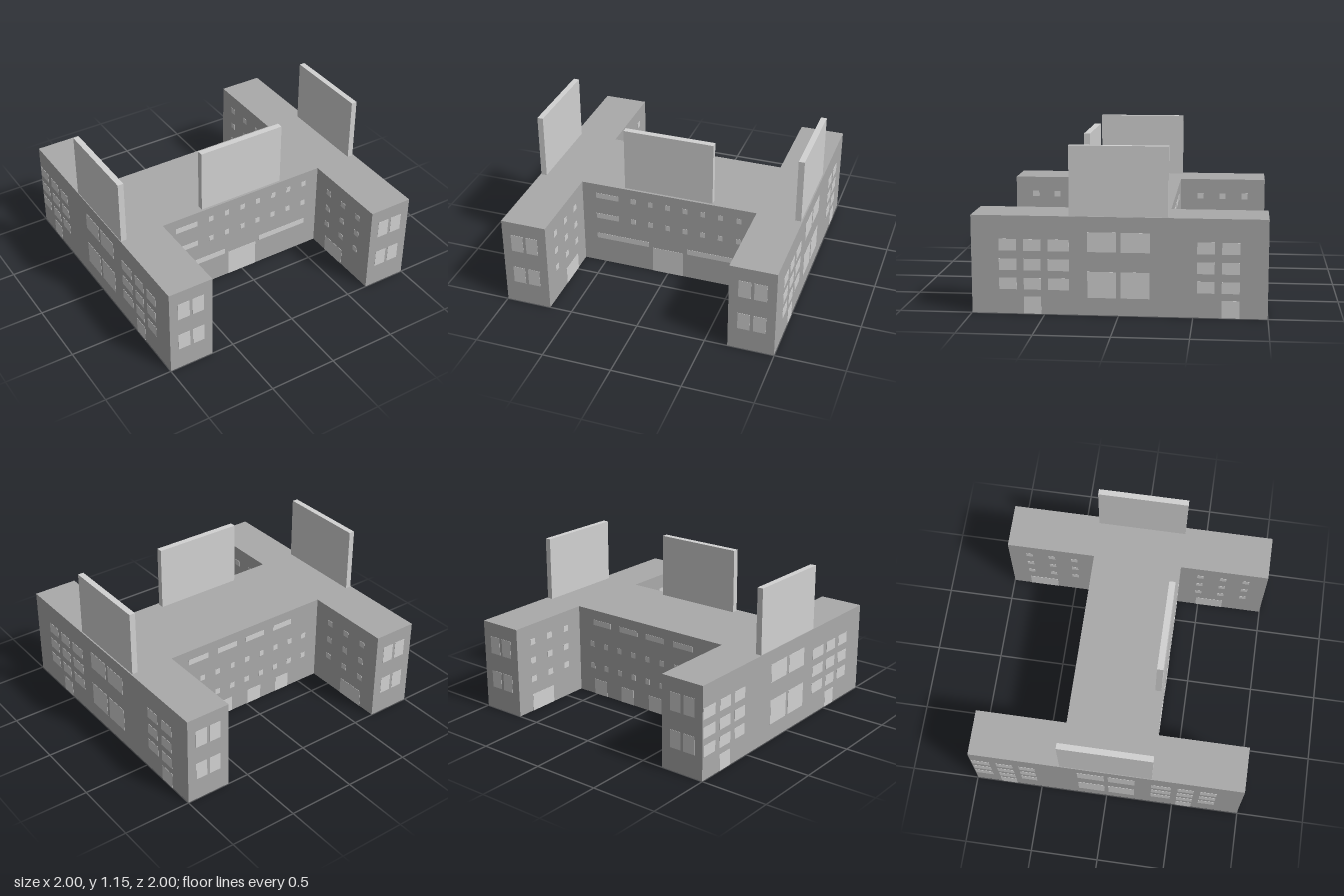
import * as THREE from 'three';

export function createModel() {
  const model = new THREE.Group();
  const wallMat = new THREE.MeshStandardMaterial({ color: 0xaaaaaa });
  wallMat.name = 'wall grey';
  const lightMat = new THREE.MeshStandardMaterial({ color: 0xd2d2d2 });
  lightMat.name = 'light grey';

  const E = 0.998, W = 0.665, D = 0.333, H = 0.675, T = 0.004;

  // H-shaped building block
  const plan = new THREE.Shape([
    [-E, -E], [-W, -E], [-W, -D], [W, -D], [W, -E], [E, -E],
    [E, E], [W, E], [W, D], [-W, D], [-W, E], [-E, E],
  ].map(([x, y]) => new THREE.Vector2(x, y)));
  const body = new THREE.Mesh(
    new THREE.ExtrudeGeometry(plan, { depth: H, bevelEnabled: false }).rotateX(-Math.PI / 2), wallMat);
  body.name = 'building';
  model.add(body);

  function box(parent, name, x0, x1, y0, y1, z0, z1) {
    const mesh = new THREE.Mesh(new THREE.BoxGeometry(x1 - x0, y1 - y0, z1 - z0), lightMat);
    mesh.position.set((x0 + x1) / 2, (y0 + y1) / 2, (z0 + z1) / 2);
    mesh.name = name;
    parent.add(mesh);
  }

  // Thin plates on one wall; each opening is [u0, u1, y0, y1], doors start at y = 0
  function openings(name, axis, at, list) {
    const wall = new THREE.Group();
    wall.name = name;
    const a = at - T / 2, b = at + T / 2;
    for (const [u0, u1, y0, y1] of list) {
      const part = y0 === 0 ? 'door' : 'window';
      if (axis === 'x') box(wall, part, a, b, y0, y1, u0, u1);
      else box(wall, part, u0, u1, y0, y1, a, b);
    }
    model.add(wall);
  }
  const grid = (cols, rows) => cols.flatMap(c => rows.map(r => [...c, ...r]));
  const centred = (list, size) => list.map(c => [c - size / 2, c + size / 2]);

  // Rooftop panels
  box(model, 'frontRoofPanel', -0.334, 0.334, H, 1.15, 0.27, 0.315);
  box(model, 'leftRoofPanel', 0.945, 0.988, H, 1.15, -0.333, 0.333);
  box(model, 'rightRoofPanel', -0.993, -0.95, H, 1.15, -0.333, 0.333);

  // Wing ends, front and back
  for (const s of [1, -1]) {
    for (const z of [E, -E]) {
      const cols = [[0.732, 0.82], [0.843, 0.933]].map(([a, b]) => s > 0 ? [a, b] : [-b, -a]);
      openings('wingEndWindows', 'z', z, grid(cols, [[0.17, 0.3], [0.437, 0.57]]));
    }
  }

  // Outer long walls
  const outerRows = [[0.168, 0.248], [0.3, 0.38], [0.435, 0.515]];
  const outer = [
    ...grid([[0.69, 0.81], [0.525, 0.642], [0.333, 0.477], [-0.642, -0.525], [-0.81, -0.69]], outerRows),
    ...grid([[0.015, 0.21], [-0.21, -0.015]], [[0.12, 0.3], [0.435, 0.57]]),
    [0.525, 0.642, 0, 0.12], [-0.81, -0.69, 0, 0.12],
  ];
  openings('leftWallOpenings', 'x', E, outer);
  openings('rightWallOpenings', 'x', -E, [...outer, ...grid([[-0.99, -0.86]], outerRows)]);

  // Inner courtyard walls of the wings
  const innerRows = centred([0.25, 0.395, 0.54], 0.045);
  for (const x of [W, -W]) {
    openings('frontCourtWindows', 'x', x,
      [...grid(centred([0.84, 0.665, 0.49], 0.05), innerRows), [0.48, 0.69, 0, 0.13]]);
    openings('backCourtWindows', 'x', x,
      [...grid(centred([-0.84, -0.665, -0.49], 0.05), innerRows), [-0.86, -0.64, 0, 0.13]]);
  }

  // Central block, front: slits, small windows and entrance
  const upperRows = [[0.382, 0.424], [0.558, 0.6]];
  openings('frontFacade', 'z', D, [
    ...grid([[-0.56, -0.382]], upperRows),
    ...grid(centred([-0.268, -0.134, 0, 0.134, 0.268, 0.402, 0.54], 0.036), upperRows),
    [-0.56, -0.15, 0.205, 0.248], [0.15, 0.56, 0.205, 0.248],
    [-0.118, 0.118, 0, 0.206],
  ]);

  // Central block, back: slits above, two rows of small windows, four doors
  openings('backFacade', 'z', -D, [
    ...grid(centred([0.435, 0.18, -0.07, -0.325], 0.17), [[0.558, 0.6]]),
    ...grid(centred([-0.536, -0.402, -0.268, -0.134, 0, 0.134, 0.268, 0.402, 0.536], 0.04),
      [[0.205, 0.248], [0.382, 0.424]]),
    ...grid(centred([0.46, 0.195, -0.07, -0.335], 0.12), [[0, 0.12]]),
  ]);

  return model;
}
